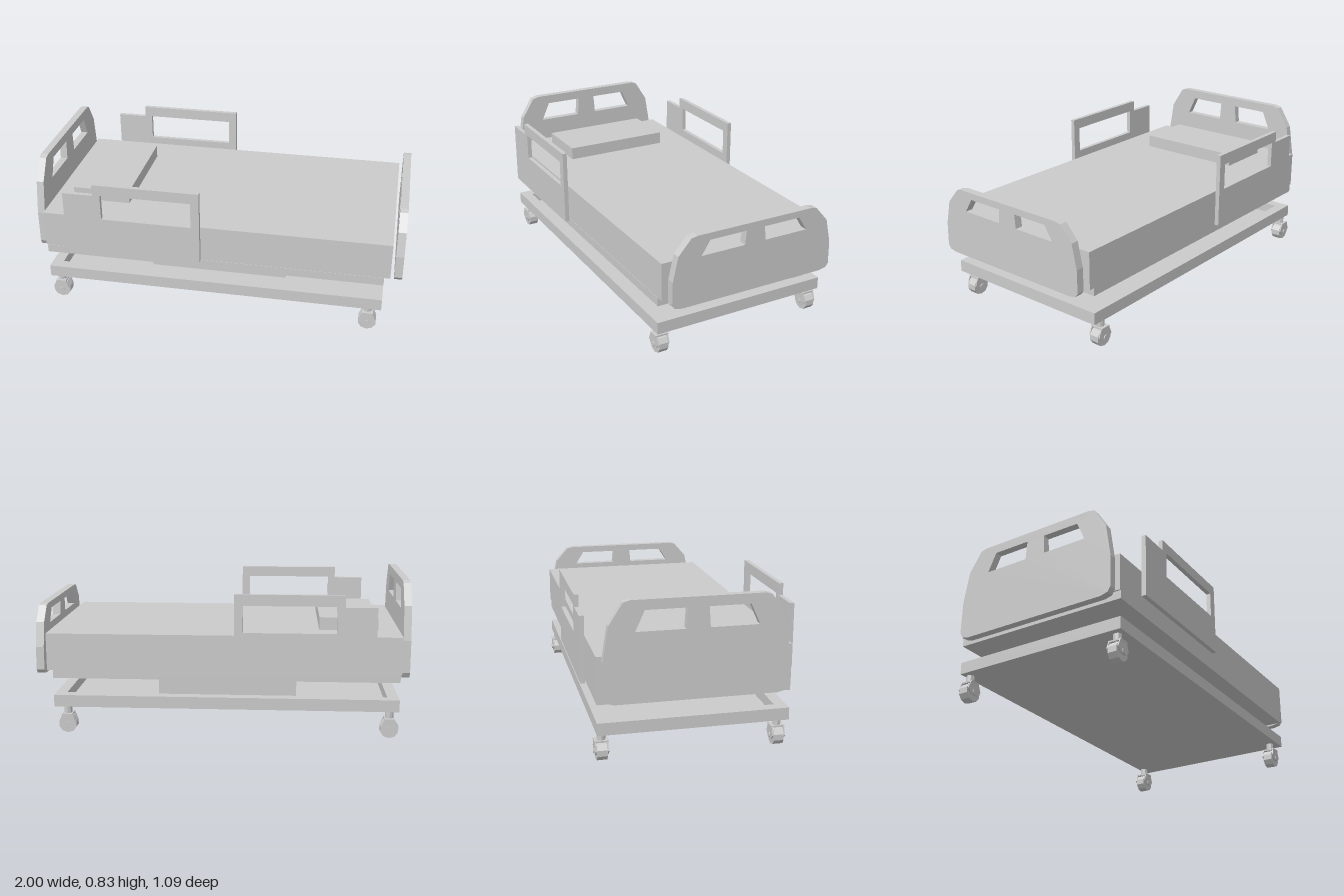
import * as THREE from 'three';

const grey = new THREE.MeshStandardMaterial({ color: 0xcccccc, flatShading: true });

function add(parent, name, geometry, x = 0, y = 0, z = 0) {
  const mesh = new THREE.Mesh(geometry, grey);
  mesh.name = name;
  mesh.position.set(x, y, z);
  parent.add(mesh);
  return mesh;
}

// Box given by its limits on each axis
function block(parent, name, x0, x1, y0, y1, z0, z1) {
  return add(parent, name, new THREE.BoxGeometry(x1 - x0, y1 - y0, z1 - z0),
    (x0 + x1) / 2, (y0 + y1) / 2, (z0 + z1) / 2);
}

const points = (list) => list.map(([x, y]) => new THREE.Vector2(x, y));

// Flat plate with cut-outs, extruded along +z
function plate(outline, holes, depth) {
  const shape = new THREE.Shape(points(outline));
  holes.forEach((h) => shape.holes.push(new THREE.Path(points(h))));
  return new THREE.ExtrudeGeometry(shape, { depth, bevelEnabled: false });
}

// End board across the bed: half profile mirrored, two slanted hand openings
function endBoard(parent, name, x0, width, heightScale) {
  const base = 0.317;
  const fit = ([z, y]) => [z, base + (y - base) * heightScale];
  const half = [[0.41, 0.317], [0.45, 0.325], [0.466, 0.345], [0.464, 0.47],
    [0.435, 0.6], [0.365, 0.68], [0.33, 0.687]].map(fit);
  const flip = (list) => list.map(([z, y]) => [-z, y]).reverse();
  const opening = [[0.053, 0.65], [0.26, 0.65], [0.307, 0.575], [0.06, 0.575]].map(fit);
  const geometry = plate([...half, ...flip(half)], [opening, flip(opening)], width);
  geometry.rotateY(Math.PI / 2);
  add(parent, name, geometry, x0, 0, -0.003);
}

// Swivel caster: stem, fork, faceted wheel and axle
function caster(parent, x, z) {
  const group = new THREE.Group();
  group.name = 'caster';
  group.position.set(x, 0, z);
  add(group, 'casterStem', new THREE.CylinderGeometry(0.022, 0.022, 0.05, 8), 0, 0.122, 0);
  add(group, 'casterWheel', new THREE.CylinderGeometry(0.05, 0.05, 0.052, 10).rotateX(Math.PI / 2), 0, 0.05, 0);
  block(group, 'casterForkTop', -0.028, 0.028, 0.099, 0.108, -0.036, 0.036);
  const cheek = [[-0.022, 0.035], [0.022, 0.035], [0.046, 0.06], [0.028, 0.105], [-0.028, 0.105], [-0.046, 0.06]];
  for (const side of [-1, 1]) {
    add(group, 'casterCheek', plate(cheek, [], 0.006), 0, 0, side * 0.031 - 0.003);
  }
  add(group, 'casterAxle', new THREE.CylinderGeometry(0.014, 0.014, 0.078, 8).rotateX(Math.PI / 2), 0, 0.05, 0);
  parent.add(group);
}

export function createModel() {
  const bed = new THREE.Group();
  bed.name = 'hospitalBed';

  // Base tray: closed floor with a raised rim
  const x0 = -0.95, x1 = 0.905, w = 0.49, rim = 0.06;
  block(bed, 'baseFloor', x0 + rim, x1 - rim, 0.145, 0.155, -w + rim, w - rim);
  const rimGeometry = plate(
    [[x0, -w], [x1, -w], [x1, w], [x0, w]],
    [[[x0 + rim, -w + rim], [x0 + rim, w - rim], [x1 - rim, w - rim], [x1 - rim, -w + rim]]],
    0.065);
  add(bed, 'baseRim', rimGeometry.rotateX(-Math.PI / 2), 0, 0.145, 0);

  // Lifting block, deck, mattress and pillow
  block(bed, 'liftPedestal', -0.405, 0.36, 0.155, 0.302, -0.287, 0.285);
  block(bed, 'deck', x0, x1, 0.305, 0.35, -w, w);
  block(bed, 'mattress', -0.957, 0.937, 0.35, 0.55, -0.492, 0.488);
  block(bed, 'pillow', -0.842, -0.524, 0.55, 0.62, -0.311, 0.296);

  // Head and foot boards
  endBoard(bed, 'headboard', -1, 0.04, 1.385);
  endBoard(bed, 'footboard', 0.956, 0.043, 1);

  // Stepped side rails with a grip opening
  const railOutline = [[-0.814, 0.372], [-0.072, 0.372], [-0.072, 0.779], [-0.648, 0.779],
    [-0.648, 0.716], [-0.814, 0.716]];
  const railOpening = [[-0.607, 0.577], [-0.607, 0.72], [-0.118, 0.72], [-0.118, 0.577]];
  for (const z of [0.523, -0.547]) {
    add(bed, z > 0 ? 'frontSideRail' : 'backSideRail', plate(railOutline, [railOpening], 0.024), 0, 0, z);
  }

  // Casters at the four corners
  for (const x of [-0.9, 0.834]) {
    for (const z of [0.442, -0.464]) caster(bed, x, z);
  }
  return bed;
}
